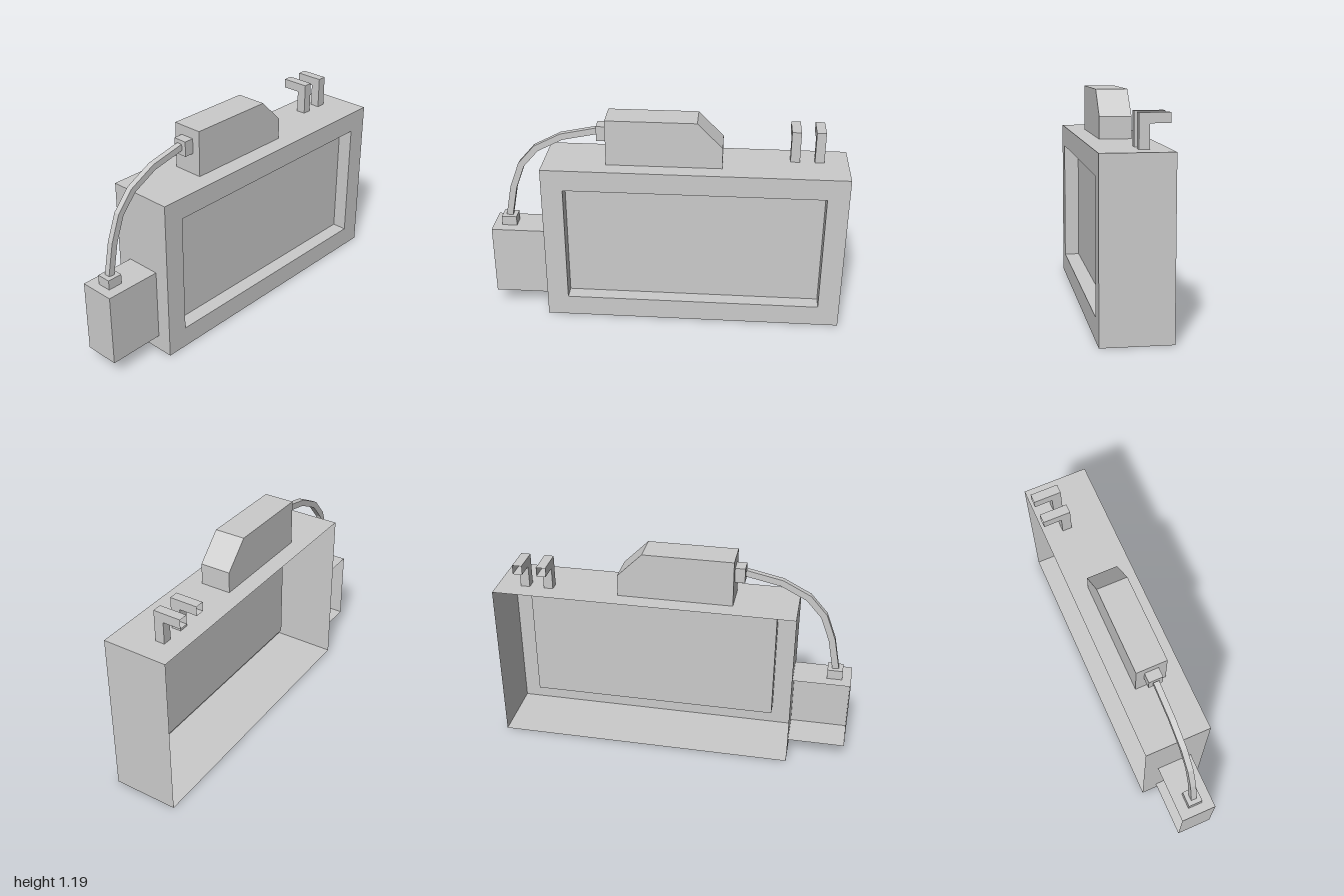
import * as THREE from 'three';

const material = new THREE.MeshStandardMaterial({
  color: 0xcccccc, flatShading: true, side: THREE.DoubleSide,
});

const vectors = (pts) => pts.map(([x, y]) => new THREE.Vector2(x, y));
const rect = (x0, y0, x1, y1) => [[x1, y0], [x1, y1], [x0, y1], [x0, y0]];

// Thin-walled prism: walls follow the outline from z0 to z1, with optional end caps.
// An open outline leaves out the wall between its last and first points.
function shell(name, pts, z0, z1, { closed = false, front = false, back = false, hole = null } = {}) {
  const pos = [];
  const count = closed ? pts.length : pts.length - 1;
  for (let i = 0; i < count && z0 !== z1; i++) {
    const a = pts[i], b = pts[(i + 1) % pts.length];
    pos.push(...a, z1, ...a, z0, ...b, z0, ...a, z1, ...b, z0, ...b, z1);
  }
  const holes = hole ? [vectors(hole)] : [];
  const all = hole ? [...pts, ...hole] : pts;
  for (const [a, b, c] of THREE.ShapeUtils.triangulateShape(vectors(pts), holes)) {
    if (front) pos.push(...all[a], z1, ...all[b], z1, ...all[c], z1);
    if (back) pos.push(...all[a], z0, ...all[c], z0, ...all[b], z0);
  }
  const geometry = new THREE.BufferGeometry();
  geometry.setAttribute('position', new THREE.Float32BufferAttribute(pos, 3));
  geometry.computeVertexNormals();
  const mesh = new THREE.Mesh(geometry, material);
  mesh.name = name;
  return mesh;
}

function box(name, x0, y0, x1, y1, halfDepth) {
  const mesh = new THREE.Mesh(new THREE.BoxGeometry(x1 - x0, y1 - y0, halfDepth * 2), material);
  mesh.position.set((x0 + x1) / 2, (y0 + y1) / 2, 0);
  mesh.name = name;
  return mesh;
}

// Offsets a path to both sides with mitred corners, giving a ribbon outline.
function ribbon(path, half) {
  const p = vectors(path);
  const left = [], right = [];
  p.forEach((v, i) => {
    const before = v.clone().sub(p[Math.max(i - 1, 0)]).normalize();
    const after = p[Math.min(i + 1, p.length - 1)].clone().sub(v).normalize();
    const t = before.add(after).normalize();
    left.push([v.x - t.y * half, v.y + t.x * half]);
    right.push([v.x + t.y * half, v.y - t.x * half]);
  });
  return [...right, ...left.reverse()];
}

export function createModel() {
  const model = new THREE.Group();
  model.name = 'cabinet';

  // Main cabinet, open at the back, with a sunken front panel
  const opening = rect(-0.56, 0.12, 0.88, 0.81);
  model.add(shell('cabinetBody', rect(-0.68, 0, 1, 0.93), -0.185, 0.185,
    { closed: true, front: true, hole: [...opening].reverse() }));
  model.add(shell('recessWalls', [...opening].reverse(), 0.1, 0.185, { closed: true }));
  model.add(shell('recessPanel', opening, 0.1, 0.1, { front: true }));

  // Side box, open at the back and against the cabinet
  model.add(shell('sideBox', [[-0.68, 0.5], [-1, 0.5], [-1, 0.09], [-0.68, 0.09]],
    -0.1, 0.1, { front: true }));

  // Chamfered housing on top
  model.add(shell('topHousing',
    [[0.31, 0.93], [0.31, 1.05], [0.17, 1.19], [-0.33, 1.19], [-0.33, 0.93]],
    -0.087, 0.087, { front: true, back: true }));

  // Bent cable and its two plugs
  model.add(box('upperPlug', -0.385, 1.05, -0.33, 1.135, 0.04));
  model.add(box('lowerPlug', -0.95, 0.5, -0.865, 0.555, 0.04));
  const path = [[-0.908, 0.555], [-0.873, 0.735], [-0.82, 0.877],
    [-0.73, 0.98], [-0.583, 1.056], [-0.385, 1.098]];
  model.add(shell('cable', ribbon(path, 0.018), -0.016, 0.016,
    { closed: true, front: true, back: true }));

  // Two hooks reaching backwards, hollow at the tip
  const hookProfile = [[0.183, 1.107], [0.027, 1.107], [0.027, 0.93],
    [0.081, 0.93], [0.081, 1.055], [0.183, 1.055]];
  for (const x of [0.682, 0.816]) {
    const hook = shell('hook', hookProfile, x, x + 0.052, { front: true, back: true });
    hook.rotation.y = Math.PI / 2;
    model.add(hook);
  }
  return model;
}
